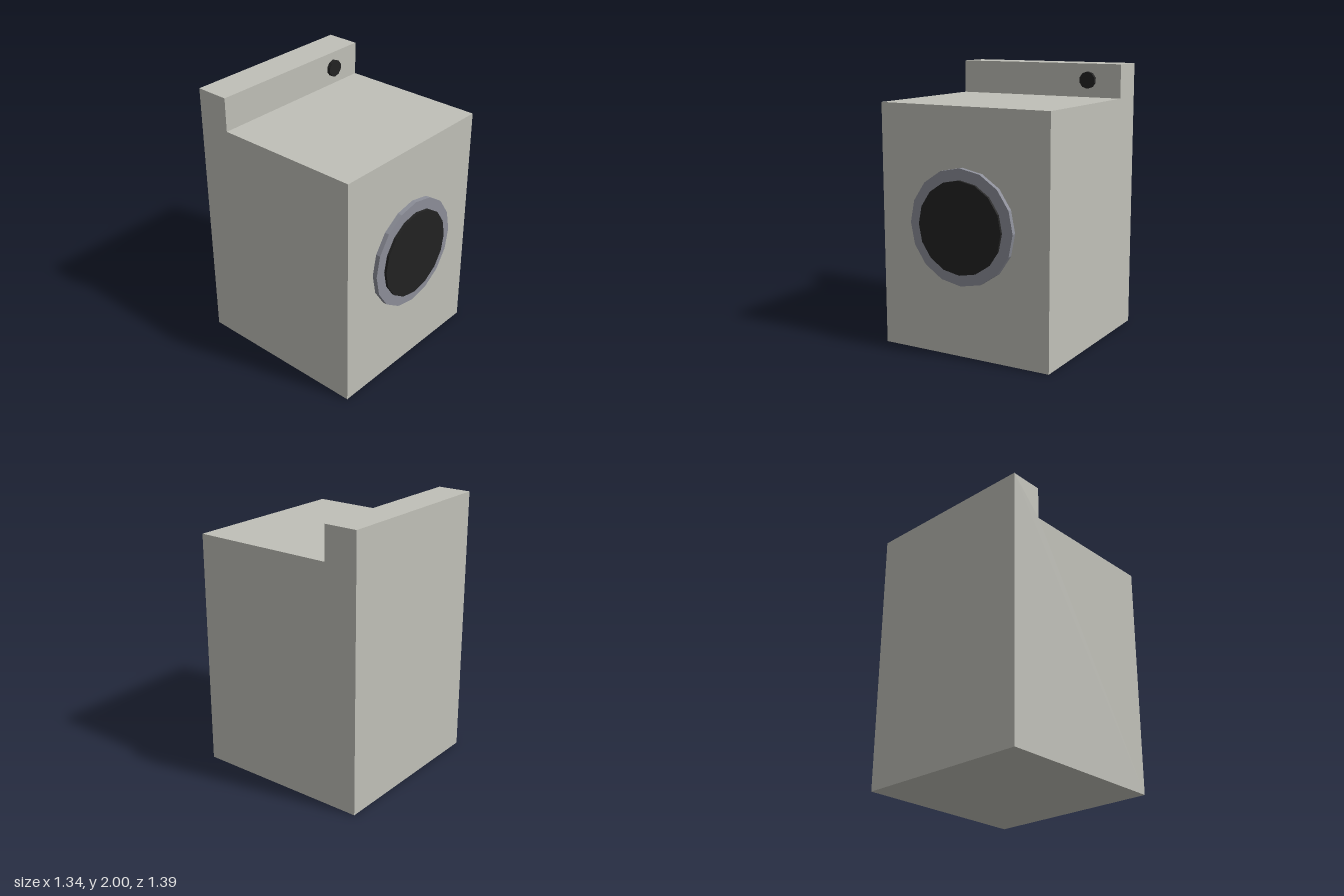
import * as THREE from 'three';

const paint = new THREE.MeshStandardMaterial({ name: 'warm grey enamel', color: 0xc0c0b8 });
const metal = new THREE.MeshStandardMaterial({ name: 'blue grey metal', color: 0x8c8e98 });
const dark = new THREE.MeshStandardMaterial({ name: 'dark glass', color: 0x222222 });
metal.flatShading = dark.flatShading = true;

const WIDTH = 1.336, BACK = -0.695, FRONT = 0.642, PANEL = -0.445;

// Faceted disc facing +z, running from z0 to z1
function disc(name, radius, sides, x, y, z0, z1, material) {
  const geometry = new THREE.CylinderGeometry(radius, radius, z1 - z0, sides).rotateX(Math.PI / 2);
  const mesh = new THREE.Mesh(geometry, material);
  mesh.name = name;
  mesh.position.set(x, y, (z0 + z1) / 2);
  return mesh;
}

export function createModel() {
  const model = new THREE.Group();
  model.name = 'washingMachine';

  // Cabinet with raised control panel: L-shaped side profile (shape x is -z)
  const profile = new THREE.Shape([
    [-FRONT, 0], [-BACK, 0], [-BACK, 2], [-PANEL, 2], [-PANEL, 1.753], [-FRONT, 1.753],
  ].map(([x, y]) => new THREE.Vector2(x, y)));
  const cabinetGeometry = new THREE.ExtrudeGeometry(profile, { depth: WIDTH, bevelEnabled: false })
    .rotateY(Math.PI / 2)
    .translate(-WIDTH / 2, 0, 0);
  const cabinet = new THREE.Mesh(cabinetGeometry, paint);
  cabinet.name = 'cabinet';
  model.add(cabinet);

  // Round door and control knob
  model.add(
    disc('doorRim', 0.41, 16, 0, 0.93, FRONT - 0.01, 0.676, metal),
    disc('doorGlass', 0.329, 16, 0, 0.93, 0.66, 0.695, dark),
    disc('controlKnob', 0.062, 10, 0.41, 1.88, PANEL - 0.01, -0.417, dark),
  );
  return model;
}
